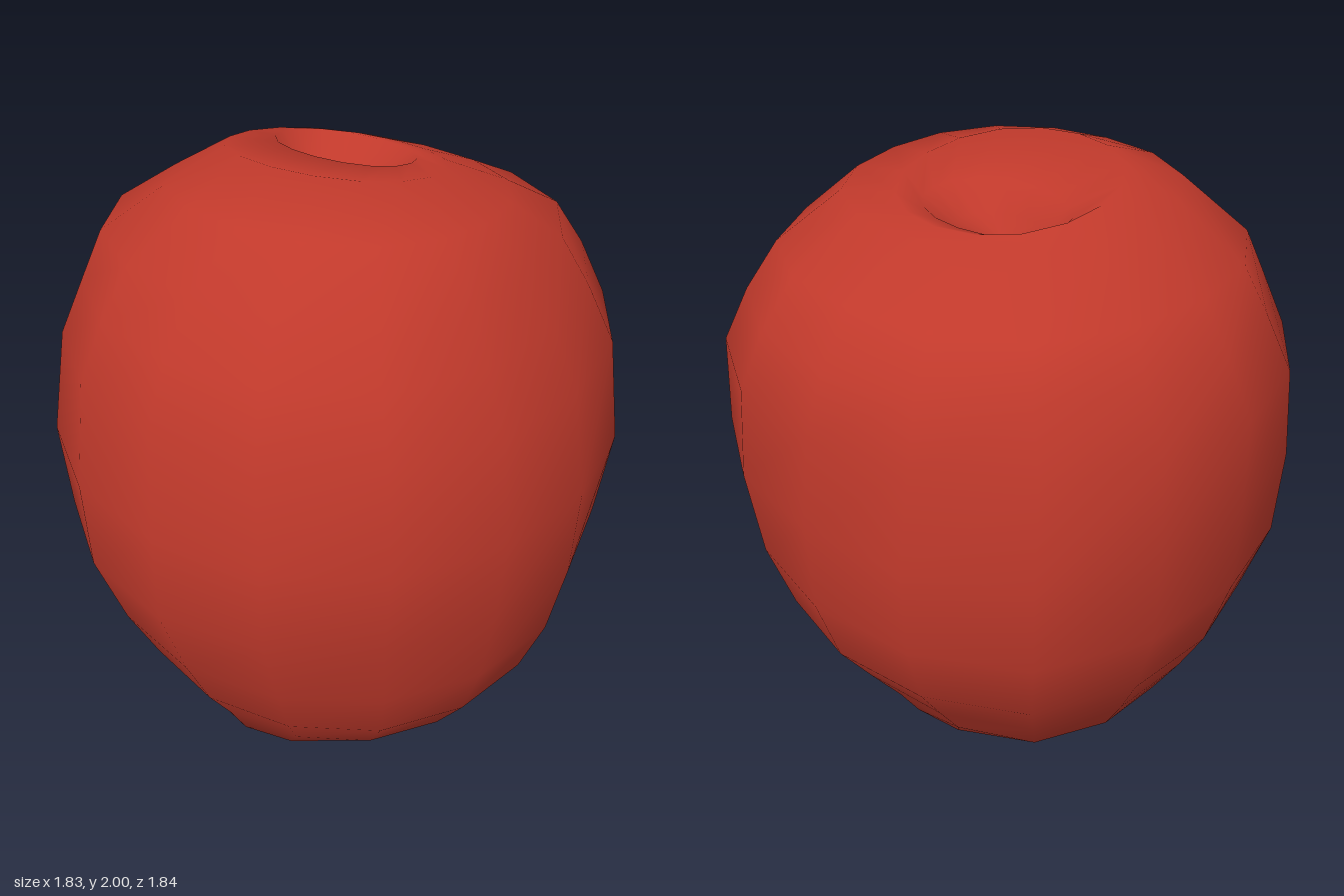
import * as THREE from 'three';

const SIDES = 16;

// Cross-sections from the bottom hollow, around the body, into the top hollow:
// [height, xMin, xMax, zMin, zMax, slope of height along z, diagonal bulges]
// Bulges go round the corners (+x+z), (-x+z), (-x-z), (+x-z).
const ROUND = [0.02, 0.02, 0.02, 0.02];
const SECTIONS = [
  [0.21, 0.05, 0.09, -0.04, 0.00, 0, ROUND],
  [0.18, -0.06, 0.18, -0.15, 0.10, 0, ROUND],
  [0.08, -0.17, 0.28, -0.26, 0.23, 0, ROUND],
  [0.03, -0.28, 0.34, -0.38, 0.37, -0.08, ROUND],
  [0.05, -0.42, 0.46, -0.49, 0.58, 0, [0, 0, 0.08, 0.05]],
  [0.18, -0.62, 0.66, -0.57, 0.65, 0, [0.01, -0.03, 0.10, 0.05]],
  [0.35, -0.72, 0.78, -0.69, 0.76, 0, [0.01, -0.03, 0.09, 0.02]],
  [0.54, -0.82, 0.85, -0.82, 0.84, 0, [0, -0.01, 0.08, -0.04]],
  [0.80, -0.90, 0.90, -0.91, 0.92, 0, [0, 0, 0.08, -0.03]],
  [1.10, -0.91, 0.91, -0.92, 0.92, 0, [0.03, 0.02, 0.08, 0.03]],
  [1.42, -0.92, 0.84, -0.91, 0.85, 0, [0.05, -0.01, 0.02, 0.05]],
  [1.60, -0.83, 0.74, -0.84, 0.76, 0, [0.07, 0, 0.02, 0.05]],
  [1.75, -0.74, 0.65, -0.73, 0.64, 0, [0.07, 0.05, 0.06, 0.05]],
  [1.89, -0.50, 0.53, -0.47, 0.49, 0.05, [0.03, 0.06, 0.05, 0.05]],
  [1.957, -0.40, 0.29, -0.40, 0.25, 0.17, ROUND],
  [1.93, -0.37, 0.13, -0.37, -0.05, 0.1, ROUND],
  [1.83, -0.28, 0.04, -0.30, -0.07, 0, ROUND],
  [1.80, -0.13, -0.09, -0.20, -0.16, 0, ROUND],
];

function buildSkin() {
  const positions = [];
  const index = [];
  for (const [y, x0, x1, z0, z1, slope, bulges] of SECTIONS) {
    for (let j = 0; j < SIDES; j++) {
      const a = (j / SIDES) * Math.PI * 2;
      const bulge = bulges[Math.floor((j * 4) / SIDES)];
      const r = 1 + bulge * Math.sin(2 * a) ** 2;
      const x = (x0 + x1) / 2 + ((x1 - x0) / 2) * r * Math.cos(a);
      const z = (z0 + z1) / 2 + ((z1 - z0) / 2) * r * Math.sin(a);
      positions.push(x, y + slope * z, z);
    }
  }
  for (let i = 0; i < SECTIONS.length - 1; i++) {
    for (let j = 0; j < SIDES; j++) {
      const k = (j + 1) % SIDES;
      const a = i * SIDES + j, b = i * SIDES + k;
      const c = a + SIDES, d = b + SIDES;
      index.push(a, c, b, b, c, d);
    }
  }
  // close the floors of both hollows
  const top = (SECTIONS.length - 1) * SIDES;
  for (let j = 1; j < SIDES - 1; j++) {
    index.push(0, j, j + 1);
    index.push(top, top + j + 1, top + j);
  }
  const geometry = new THREE.BufferGeometry();
  geometry.setAttribute('position', new THREE.Float32BufferAttribute(positions, 3));
  geometry.setIndex(index);
  geometry.computeVertexNormals();
  return geometry;
}

export function createModel() {
  const group = new THREE.Group();
  group.name = 'apple';
  const red = new THREE.MeshStandardMaterial({ color: 0xc0392b });
  red.name = 'apple red';
  const body = new THREE.Mesh(buildSkin(), red);
  body.name = 'appleBody';
  group.add(body);
  return group;
}
